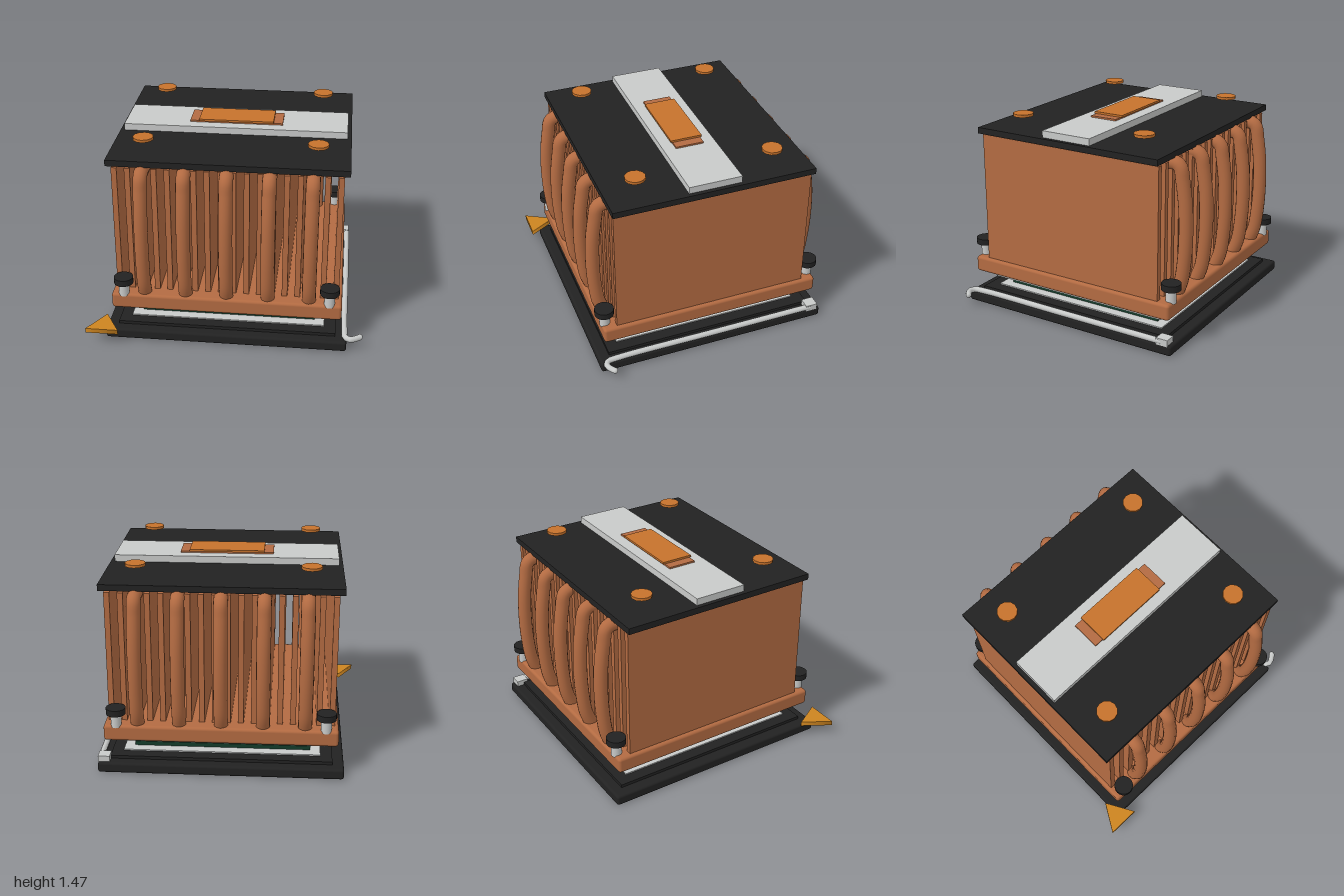
import * as THREE from 'three';
import { RoundedBoxGeometry } from 'three/addons/geometries/RoundedBoxGeometry.js';

const paint = (name, color) => {
  const m = new THREE.MeshStandardMaterial({ color });
  m.name = name;
  return m;
};

export function createModel() {
  const copper = paint('copper', 0xb36b42);
  const orange = paint('orange copper', 0xc6722c);
  const gold = paint('gold', 0xcc8420);
  const black = paint('black', 0x222222);
  const silver = paint('silver', 0xc8cac9);
  const green = paint('board green', 0x143c2a);

  const model = new THREE.Group();
  model.name = 'processorCooler';
  // The cooler and socket share one axis, slightly off the origin
  const body = new THREE.Group();
  body.name = 'coolerAndSocket';
  body.position.set(0.0175, 0, -0.04);
  model.add(body);

  const add = (name, geometry, material, x = 0, y = 0, z = 0) => {
    const mesh = new THREE.Mesh(geometry, material);
    mesh.name = name;
    mesh.position.set(x, y, z);
    body.add(mesh);
    return mesh;
  };
  // Box given by its width, depth and vertical range
  const box = (name, mat, w, d, y0, y1, x = 0, z = 0) =>
    add(name, new THREE.BoxGeometry(w, y1 - y0, d), mat, x, (y0 + y1) / 2, z);
  const rounded = (name, mat, w, d, y0, y1, r) =>
    add(name, new RoundedBoxGeometry(w, y1 - y0, d, 2, r), mat, 0, (y0 + y1) / 2, 0);
  const disc = (name, mat, r, y0, y1, x, z, sides = 20) =>
    add(name, new THREE.CylinderGeometry(r, r, y1 - y0, sides), mat, x, (y0 + y1) / 2, z);

  // Socket
  rounded('socketBase', black, 1.765, 1.76, 0, 0.077, 0.018);
  box('socketStep', black, 1.6, 1.6, 0.07, 0.1);
  box('socketContactPlate', silver, 1.43, 1.43, 0.1, 0.109);

  // Processor board with small parts around its rim
  box('processorBoard', green, 1.285, 1.285, 0.109, 0.14);
  for (let i = -4; i <= 4; i++) {
    for (const s of [-1, 1]) {
      box('boardChip', black, 0.05, 0.03, 0.14, 0.152, i * 0.15, s * 0.6);
      if (Math.abs(i) < 4) box('boardChip', black, 0.03, 0.05, 0.14, 0.152, s * 0.6, i * 0.15);
    }
  }

  // Heat spreader in three tiers
  box('spreaderFoot', silver, 1.12, 1.12, 0.14, 0.185);
  box('spreaderFlange', silver, 1.49, 1.44, 0.183, 0.208);
  box('spreaderTop', silver, 0.985, 0.985, 0.208, 0.235);

  // Corner pointers
  const pointer = (name, r, y0, y1, x, z) => {
    disc(name, gold, r, y0, y1, x - 0.0175, z + 0.04, 3).rotation.y = Math.PI;
  };
  pointer('cornerPointer', 0.139, 0.085, 0.12, -0.88, 0.85);
  pointer('boardPointer', 0.09, 0.145, 0.163, -0.56, 0.535);

  // Locking lever with hinge block
  const leverPath = new THREE.CatmullRomCurve3([
    [0.866, 0.095, -0.8], [0.866, 0.095, 0], [0.866, 0.095, 0.74], [0.875, 0.092, 0.83],
    [0.91, 0.09, 0.85], [0.945, 0.09, 0.835], [0.982, 0.09, 0.81],
  ].map(p => new THREE.Vector3(...p)));
  add('lockingLever', new THREE.TubeGeometry(leverPath, 60, 0.022, 10), silver);
  add('leverTip', new THREE.SphereGeometry(0.022, 10, 8), silver, 0.982 - 0.004, 0.09, 0.81);
  box('leverHinge', silver, 0.085, 0.09, 0.07, 0.12, 0.84, -0.81);

  // Copper base and fins
  rounded('coolerBase', copper, 1.675, 1.67, 0.235, 0.355, 0.022);
  for (let i = 0; i < 18; i++) {
    box('fin', copper, 0.04, 1.465, 0.34, 1.32, (i - 8.5) * 0.0931);
  }

  // Heat pipes, bowed outward on front and back
  const pipeProfile = [[0.3, 0.74], [0.37, 0.775], [0.45, 0.802], [0.62, 0.823], [0.8, 0.83],
    [1.0, 0.822], [1.18, 0.797], [1.265, 0.78], [1.292, 0.75], [1.293, 0.65]];
  for (const s of [-1, 1]) {
    const path = new THREE.CatmullRomCurve3(
      pipeProfile.map(([y, z]) => new THREE.Vector3(0, y, s * z)));
    const pipe = new THREE.TubeGeometry(path, 48, 0.05, 16);
    for (let i = -2; i <= 2; i++) {
      add(s > 0 ? 'frontHeatPipe' : 'backHeatPipe', pipe, copper, i * 0.299, 0, 0);
    }
  }

  // Mounting screws
  for (const x of [-0.747, 0.747]) {
    for (const z of [-0.805, 0.805]) {
      disc('screwShaft', silver, 0.038, 0.34, 0.45, x, z);
      disc('screwCap', black, 0.07, 0.44, 0.487, x, z);
    }
  }

  // Top cover with bar and badge
  box('topCover', black, 1.7, 1.49, 1.335, 1.38);
  box('topBar', silver, 1.64, 0.39, 1.38, 1.43);
  box('badgeBase', copper, 0.685, 0.21, 1.43, 1.442);
  box('badgeFace', orange, 0.55, 0.235, 1.442, 1.457);

  // Cover studs
  for (const x of [-0.619, 0.619]) {
    for (const z of [-0.508, 0.508]) {
      disc('coverStud', orange, 0.074, 1.45, 1.47, x, z, 12);
    }
  }
  return model;
}
